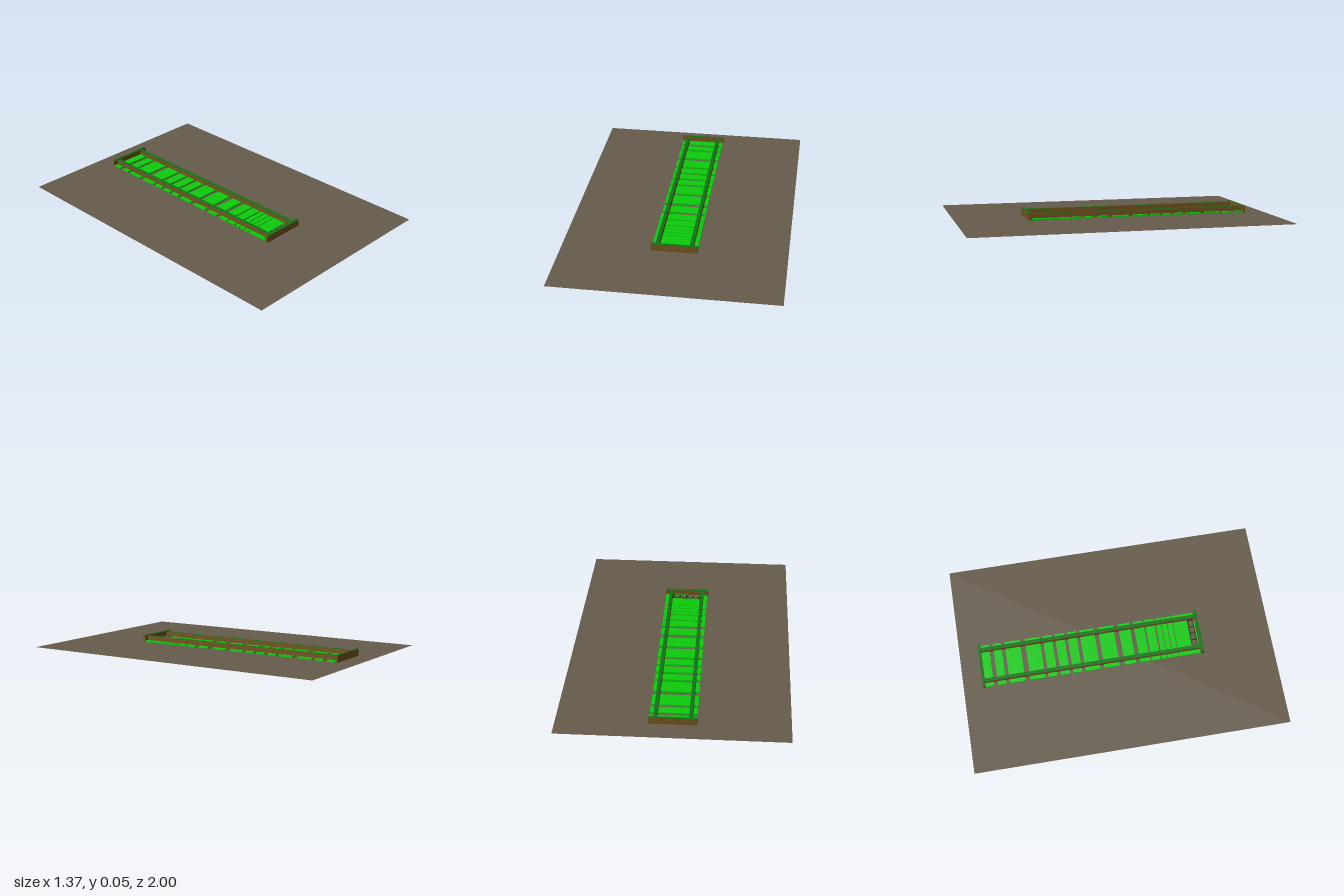
import * as THREE from 'three';

const mat = (name, color, extra = {}) => {
  const m = new THREE.MeshStandardMaterial({ color, ...extra });
  m.name = name;
  return m;
};

export function createModel() {
  const model = new THREE.Group();
  const ground = mat('earth', 0x665c4c, { side: THREE.DoubleSide });
  const grass = mat('brightGreen', 0x0ccc0c);
  const moss = mat('darkGreen', 0x0e7414);
  const wood = mat('woodBrown', 0x725420);
  const dark = mat('darkBrown', 0x2c2416);
  const mossTopped = [wood, wood, moss, wood, wood, wood];

  // Box given by its limits on each axis
  const box = (name, [x0, x1], [y0, y1], [z0, z1], material) => {
    const mesh = new THREE.Mesh(new THREE.BoxGeometry(x1 - x0, y1 - y0, z1 - z0), material);
    mesh.position.set((x0 + x1) / 2, (y0 + y1) / 2, (z0 + z1) / 2);
    mesh.name = name;
    model.add(mesh);
  };

  // Flat ground sheet
  const sheet = new THREE.Mesh(new THREE.PlaneGeometry(1.37, 2).rotateX(-Math.PI / 2), ground);
  sheet.position.y = 0.004;
  sheet.name = 'ground';
  model.add(sheet);

  // Cross slats of uneven width, each a [start, end] along z
  const slats = [
    [-0.865, -0.806], [-0.78, -0.727], [-0.705, -0.605], [-0.573, -0.477],
    [-0.456, -0.398], [-0.377, -0.318], [-0.297, -0.239], [-0.217, -0.122],
    [-0.095, 0.005], [0.037, 0.111], [0.138, 0.202], [0.212, 0.271],
    [0.281, 0.313], [0.318, 0.35], [0.355, 0.387], [0.392, 0.533],
  ];
  slats.forEach((z, i) => box('slat' + (i + 1), [-0.14, 0.14], [0.002, 0.014], z, grass));

  // Long side rails, green on top
  for (const [name, s] of [['leftRail', 1], ['rightRail', -1]]) {
    box(name, [s * 0.104 - 0.011, s * 0.104 + 0.011], [0, 0.043], [-0.865, 0.535], mossTopped);
  }

  // End beams, slightly higher than the rails
  box('frontBeam', [-0.143, 0.143], [0.002, 0.048], [0.532, 0.552], mossTopped);
  box('backBeam', [-0.143, 0.143], [0.002, 0.048], [-0.877, -0.861], mossTopped);

  // Row of four small pads in a dark surround near the front
  box('padSurround', [-0.093, 0.093], [0.012, 0.0155], [0.484, 0.524], dark);
  for (let i = 0; i < 4; i++) {
    const x = -0.068 + i * 0.0445;
    box('pad' + (i + 1), [x - 0.018, x + 0.018], [0.012, 0.018], [0.489, 0.519], ground);
  }
  return model;
}
